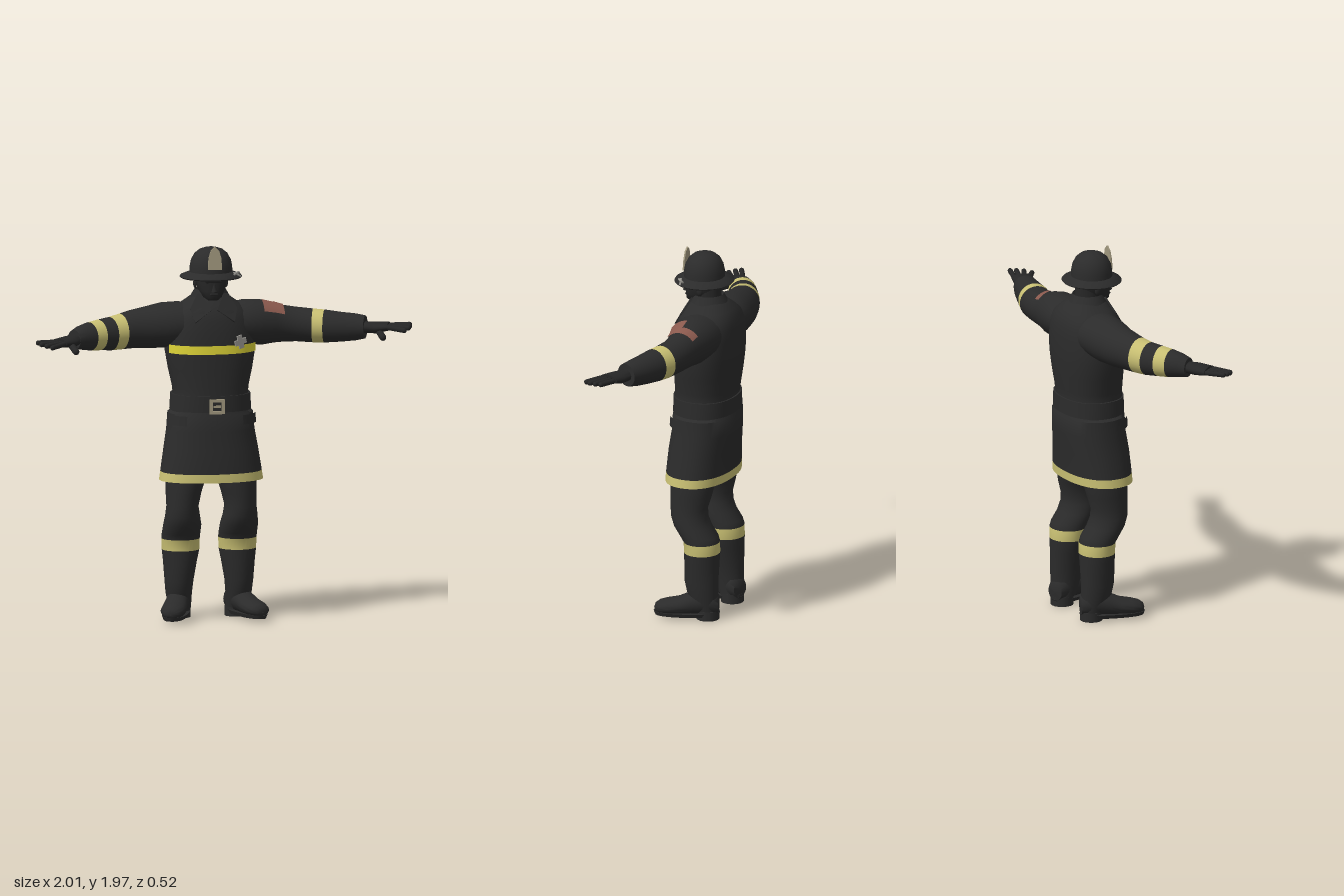
import * as THREE from 'three';
import { toCreasedNormals } from 'three/addons/utils/BufferGeometryUtils.js';

const mat = (name, color) => Object.assign(new THREE.MeshStandardMaterial({ color }), { name });
const M = {
  cloth: mat('dark cloth', 0x2b2b2b),
  skin: mat('dark face and gloves', 0x262626),
  tape: mat('pale reflective tape', 0xc9c073),
  yellow: mat('bright chest tape', 0xe0d638),
  red: mat('red shoulder patch', 0x8c5a4e),
  metal: mat('grey metal', 0x9c9a94),
  brass: mat('dull brass', 0xa39a80),
};
const MATS = Object.values(M), KEYS = Object.keys(M);
const X = new THREE.Vector3(1, 0, 0), Y = new THREE.Vector3(0, 1, 0);

function add(parent, name, geo, material, pos = [0, 0, 0], rot = [0, 0, 0]) {
  const mesh = new THREE.Mesh(geo, material);
  mesh.name = name;
  mesh.position.set(...pos);
  mesh.rotation.set(...rot);
  parent.add(mesh);
  return mesh;
}

// Skin over oval rings [x, y, z, a, b, colour of the span above]; a lies along axis u, b across it.
// t0..t1 limits it to a sector, grow lifts it off the surface, e squares the oval.
function loft(parent, name, rings, { u = X, t0 = 0, t1 = Math.PI * 2, grow = 0, e = 1, n = 32, key = 'cloth' } = {}) {
  const pos = [], idx = [], geo = new THREE.BufferGeometry();
  const pw = (v) => Math.sign(v) * Math.abs(v) ** e;
  rings.forEach(([x, y, z, a, b], i) => {
    const p = rings[Math.max(i - 1, 0)], q = rings[Math.min(i + 1, rings.length - 1)];
    const d = u === X ? Y.clone() : new THREE.Vector3(q[0] - p[0], 0, q[2] - p[2]).normalize();
    const v = u.clone().cross(d);
    for (let j = 0; j <= n; j++) {
      const t = t0 + (t1 - t0) * (j % n === 0 && t1 - t0 > 6.2 ? 0 : j / n);
      const c = new THREE.Vector3(x, y, z)
        .addScaledVector(u, (a + grow) * pw(Math.cos(t))).addScaledVector(v, (b + grow) * pw(Math.sin(t)));
      pos.push(c.x, c.y, c.z);
    }
  });
  for (let i = 0; i < rings.length - 1; i++) {
    geo.addGroup(idx.length, n * 6, KEYS.indexOf(rings[i][5] ?? key));
    for (let j = 0; j < n; j++) {
      const k = i * (n + 1) + j, m = k + n + 1;
      idx.push(k, m, k + 1, k + 1, m, m + 1);
    }
  }
  geo.setAttribute('position', new THREE.Float32BufferAttribute(pos, 3));
  geo.setIndex(idx);
  return add(parent, name, toCreasedNormals(geo, 0.9), MATS);
}

// Rounded rod between two points
function rod(parent, name, p, q, r, material) {
  const a = new THREE.Vector3(...p), b = new THREE.Vector3(...q), d = b.clone().sub(a);
  const m = add(parent, name, new THREE.CapsuleGeometry(r, d.length() - r, 5, 10), material);
  m.position.copy(a).addScaledVector(d, 0.5);
  m.quaternion.setFromUnitVectors(Y, d.normalize());
}

function plate(points, depth, hole) {
  const s = new THREE.Shape(points.map(([x, y]) => new THREE.Vector2(x, y)));
  if (hole) s.holes.push(new THREE.Path(hole.map(([x, y]) => new THREE.Vector2(x, y))));
  return new THREE.ExtrudeGeometry(s, { depth, bevelEnabled: false });
}
const square = (h) => [[-h, -h], [h, -h], [h, h], [-h, h]];

function buildLeg(body, s) {
  const leg = new THREE.Group();
  leg.name = s > 0 ? 'leftLeg' : 'rightLeg';
  body.add(leg);
  loft(leg, 'trouserAndBootShaft', [
    [.150, .05, -.145, .058, .065], [.158, .13, -.13, .068, .082], [.158, .20, -.122, .075, .09],
    [.153, .30, -.122, .088, .092], [.150, .362, -.122, .098, .094, 'tape'], [.150, .42, -.12, .1, .094],
    [.150, .45, -.105, .1, .1], [.150, .50, -.07, .099, .1], [.152, .55, -.052, .09, .1],
    [.153, .60, -.05, .083, .1], [.146, .67, -.058, .092, .112], [.132, .75, -.065, .105, .12],
    [.115, .95, -.075, .1, .12]].map(([x, ...r]) => [s * x, ...r]));
  const foot = new THREE.Group();
  foot.name = 'boot';
  foot.position.set(s * .15, 0, -.155);
  foot.rotation.y = s * .34;
  leg.add(foot);
  loft(foot, 'bootUpper', [
    [0, .08, -.06, .002, .002], [0, .08, -.056, .05, .045], [0, .09, -.03, .065, .058], [0, .095, .03, .07, .062],
    [0, .082, .09, .06, .06], [0, .068, .15, .047, .065], [0, .062, .21, .041, .065], [0, .058, .25, .034, .053],
    [0, .054, .273, .022, .034], [0, .052, .28, .002, .002]], { u: Y });
  loft(foot, 'sole', [[0, .016, .11, .001, .001], [0, .016, .11, .058, .165], [0, .036, .11, .066, .173],
    [0, .036, .11, .001, .001]], { e: .85 });
  add(foot, 'heel', new THREE.CylinderGeometry(.06, .06, .05, 20), M.cloth, [0, .025, 0]);
}

function buildHand(parent, name, wrist, palm, knuckles, tips, thumb) {
  const hand = new THREE.Group();
  hand.name = name;
  parent.add(hand);
  loft(hand, 'palm', [[...wrist, .03, .036], [...palm, .03, .056],
    [...knuckles, .022, .058], [...knuckles, .001, .001]], { u: Y, n: 20, key: 'skin' });
  // Knuckles spread across the palm, one finger to each tip
  const ax = new THREE.Vector3(...knuckles).sub(new THREE.Vector3(...wrist)).setY(0).normalize();
  tips.forEach((t, i) => {
    const o = (i - 1.5) * .027, side = Math.sign(ax.x);
    rod(hand, 'finger', [knuckles[0] - ax.z * o * side, knuckles[1], knuckles[2] + Math.abs(ax.x) * o], t, .0135, M.skin);
  });
  rod(hand, 'thumb', palm, thumb, .018, M.skin);
}

export function createModel() {
  const root = new THREE.Group();
  root.name = 'firefighter';
  const body = new THREE.Group();
  body.name = 'body';
  body.position.x = -.037;
  root.add(body);

  // Coat with taped hem
  const coat = [
    [.775, -.06, .01, .01], [.765, -.06, .25, .15], [.738, -.06, .272, .168, 'tape'], [.783, -.062, .265, .168],
    [.90, -.07, .247, .167], [1.0, -.082, .23, .165], [1.09, -.085, .223, .164], [1.10, -.084, .205, .157],
    [1.20, -.083, .197, .156], [1.23, -.085, .2, .157], [1.32, -.09, .22, .163], [1.41, -.095, .235, .166],
    [1.455, -.096, .236, .166], [1.52, -.098, .233, .164], [1.58, -.1, .222, .158], [1.625, -.1, .195, .146],
    [1.66, -.1, .15, .125], [1.69, -.097, .108, .098], [1.715, -.093, .078, .074], [1.715, -.093, .01, .01],
  ].map((r) => [0, ...r]);
  loft(body, 'coat', coat, { e: .88, n: 48 });
  loft(body, 'chestTape', coat.slice(11, 13), { e: .88, t0: .35, t1: Math.PI - .35, grow: .006, key: 'yellow' });
  loft(body, 'frontFlap', coat.slice(2, 8), { e: .88, t0: 1.54, t1: 1.66, grow: .005, n: 4 });
  for (const s of [0, 1])
    loft(body, 'pocketFlap', [[0, 1.035, -.083, .228, .165], [0, 1.085, -.085, .223, .164]],
      { e: .88, t0: s ? 2.2 : .25, t1: s ? 2.9 : .95, grow: .012 }).material = M.cloth;
  loft(body, 'belt', [[0, 1.105, -.084, .19, .14], [0, 1.105, -.084, .213, .164], [0, 1.19, -.084, .208, .163],
    [0, 1.19, -.084, .18, .14]], { e: .88, n: 48 });
  add(body, 'buckle', plate(square(.039), .012, square(.023)), M.brass, [.006, 1.137, .078]);
  add(body, 'bucklePin', new THREE.BoxGeometry(.04, .01, .008), M.brass, [.006, 1.137, .084]);

  // Badge of two crossed bars
  for (const a of [0, Math.PI / 2])
    add(body, 'badge', new THREE.BoxGeometry(.028, .07, .009), M.metal, [.133, 1.472, .064], [0, .4, a + .25]);

  // Collar
  loft(body, 'collar', [[0, 1.66, -.095, .125, .112], [0, 1.70, -.093, .1, .094], [0, 1.735, -.088, .08, .08],
    [0, 1.72, -.088, .072, .07]], { t0: 2.2, t1: 2.2 + 5.02 }).material = Object.assign(M.cloth, { side: THREE.DoubleSide });
  for (const s of [-1, 1]) {
    const pts = [[.012, .03], [.105, -.03], [.125, .05], [.08, .13], [.06, .13]].map(([x, y]) => [s * x, y]);
    add(body, 'collarFlap', plate(s > 0 ? pts : pts.reverse(), .01), M.cloth, [0, 1.61, .053], [-.55, s * .22, 0]);
    buildLeg(body, s);
  }

  // Head
  loft(body, 'neck', [[0, 1.66, -.09, .068, .068], [0, 1.80, -.085, .066, .068]], { key: 'skin' });
  loft(body, 'head', [[0, 1.682, -.02, .004, .004], [0, 1.685, -.02, .03, .038], [0, 1.70, -.033, .05, .065],
    [0, 1.735, -.05, .069, .083], [0, 1.78, -.06, .08, .092], [0, 1.85, -.062, .082, .094]], { e: .9, key: 'skin' });
  add(body, 'nose', new THREE.ConeGeometry(.017, .05, 8), M.skin, [0, 1.757, .035], [-.2, 0, 0]);
  add(body, 'mouth', new THREE.CapsuleGeometry(.007, .03, 4, 8), M.skin, [0, 1.719, .031], [0, 0, Math.PI / 2]);
  add(body, 'brow', new THREE.CapsuleGeometry(.012, .07, 4, 8), M.skin, [0, 1.79, .024], [0, 0, Math.PI / 2]);
  for (const s of [-1, 1])
    add(body, 'ear', new THREE.SphereGeometry(.025, 12, 8), M.skin, [s * .082, 1.765, -.075]).scale.set(.4, 1, .7);

  // Helmet with front shield and side clip
  const profile = [[.08, 1.812], [.157, 1.797], [.163, 1.803], [.158, 1.81], [.112, 1.828], [.111, 1.855],
    [.104, 1.89], [.086, 1.923], [.06, 1.944], [.03, 1.954], [0, 1.957]].map(([x, y]) => new THREE.Vector2(x, y));
  add(body, 'helmet', toCreasedNormals(new THREE.LatheGeometry(profile, 40), .7), M.cloth, [0, 0, -.065]).scale.z = .95;
  add(body, 'helmetShield', plate([[-.037, 0], [.037, 0], [.034, .06], [.022, .1], [0, .122], [-.022, .1], [-.034, .06]], .008),
    M.brass, [.003, 1.85, .034], [-.05, 0, 0]);
  add(body, 'shieldHolder', new THREE.BoxGeometry(.03, .05, .02), M.cloth, [.003, 1.86, .027]);
  add(body, 'helmetClip', new THREE.TorusGeometry(.014, .006, 8, 14), M.metal, [.122, 1.822, .012], [.9, .5, 0]);
  rod(body, 'clipPin', [.105, 1.83, .02], [.145, 1.808, .008], .005, M.metal);

  // Sleeves with tape rings
  loft(root, 'rightSleeve', [
    [-.10, 1.555, -.103, .095, .12], [-.20, 1.552, -.105, .115, .13], [-.29, 1.546, -.103, .118, .12],
    [-.38, 1.537, -.095, .108, .106], [-.46, 1.532, -.078, .099, .096], [-.515, 1.525, -.06, .093, .09, 'tape'],
    [-.575, 1.519, -.035, .087, .085], [-.64, 1.519, -.004, .08, .078, 'tape'], [-.695, 1.518, .026, .074, .073],
    [-.75, 1.517, .058, .062, .06], [-.785, 1.512, .08, .05, .05], [-.785, 1.512, .08, .005, .005]], { u: Y });
  const left = [
    [.04, 1.555, -.103, .095, .12], [.14, 1.552, -.105, .115, .13], [.235, 1.546, -.106, .118, .118],
    [.30, 1.542, -.107, .105, .1], [.35, 1.536, -.106, .096, .092], [.42, 1.531, -.1, .09, .088],
    [.505, 1.524, -.08, .088, .088, 'tape'], [.562, 1.522, -.06, .086, .084], [.65, 1.52, -.032, .077, .076],
    [.72, 1.521, -.01, .07, .068], [.765, 1.522, .008, .06, .063], [.765, 1.522, .008, .005, .005]];
  loft(root, 'leftSleeve', left, { u: Y });
  // Ragged two-lobed shoulder patch
  loft(root, 'shoulderPatch', left.slice(2, 5), { u: Y, t0: -.95, t1: -.1, grow: .005, key: 'red', n: 12 });
  loft(root, 'shoulderPatch', left.slice(3, 5), { u: Y, t0: -.1, t1: .85, grow: .005, key: 'red', n: 12 });

  // Gloved hands
  buildHand(root, 'rightHand', [-.765, 1.512, .07], [-.82, 1.508, .115], [-.875, 1.508, .15],
    [[-.997, 1.515, .172], [-.985, 1.51, .202], [-.962, 1.505, .23], [-.935, 1.498, .248]], [-.80, 1.467, .225]);
  buildHand(root, 'leftHand', [.75, 1.522, .003], [.82, 1.522, .035], [.88, 1.53, .055],
    [[.998, 1.536, .05], [.992, 1.532, .085], [.978, 1.527, .122], [.95, 1.52, .155]], [.84, 1.478, .125]);
  return root;
}
